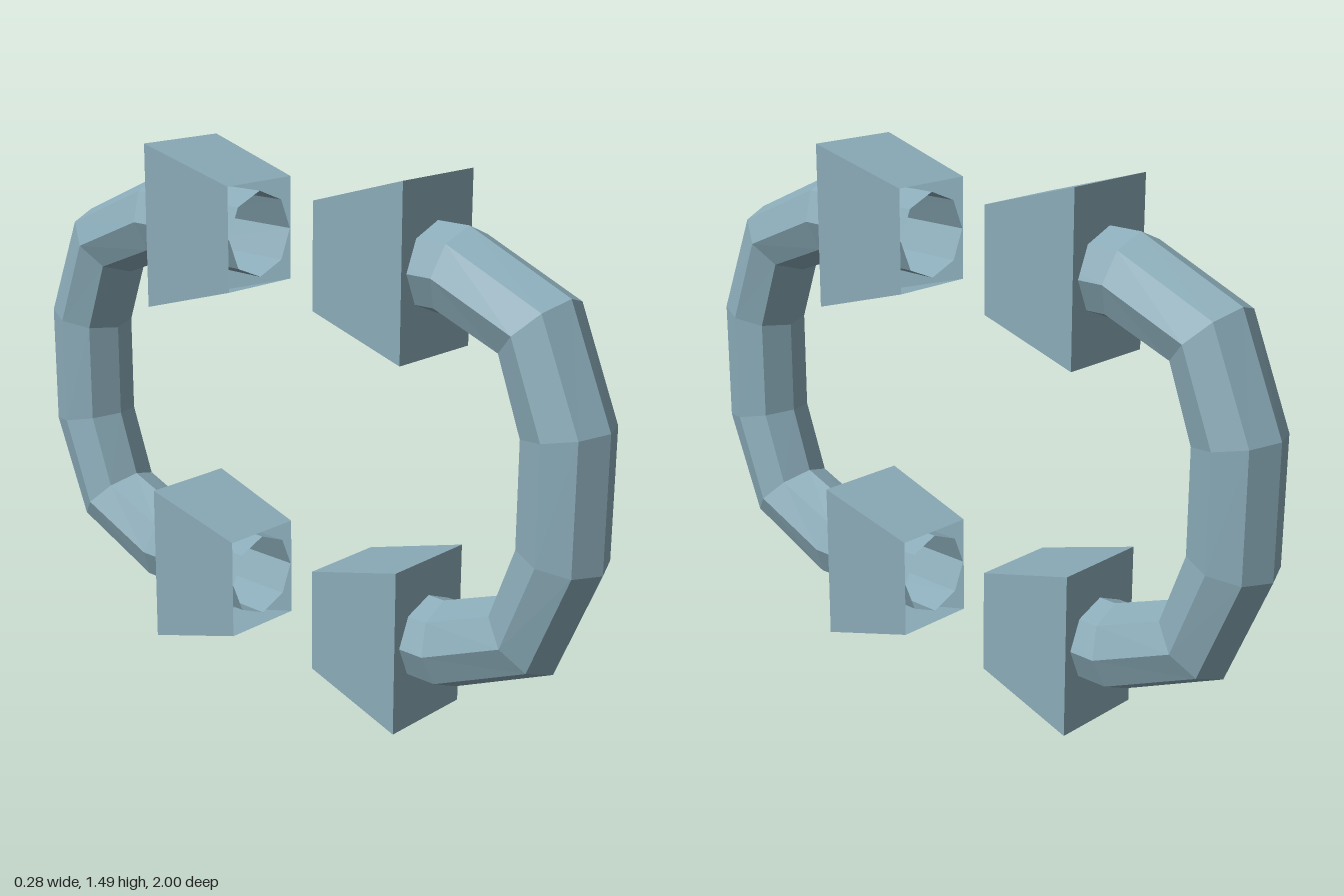
import * as THREE from 'three';

const paint = new THREE.MeshStandardMaterial({ color: 0x8aabb8, flatShading: true, side: THREE.DoubleSide });
paint.name = 'blueGrey';

const INNER_Z = 0.155, OUTER_Z = 0.465;

// Open octagonal tube swept along a C-shaped path of [z, y] points
function tubeGeometry() {
  const half = [[INNER_Z, 1.257], [0.54, 1.257], [0.785, 1.155], [0.882, 0.91]];
  const path = [...half, ...half.map(([z, y]) => [z, 1.502 - y]).reverse()]
    .map(([z, y]) => new THREE.Vector2(z, y));
  const sides = 8, radius = 0.12, positions = [], index = [];
  path.forEach((p, i) => {
    const tangent = new THREE.Vector2();
    if (i > 0) tangent.add(p.clone().sub(path[i - 1]).normalize());
    if (i < path.length - 1) tangent.add(path[i + 1].clone().sub(p).normalize());
    tangent.normalize();
    for (let j = 0; j < sides; j++) {
      const a = (j / sides) * Math.PI * 2;
      const out = radius * Math.cos(a);
      positions.push(radius * Math.sin(a), p.y + out * tangent.x, p.x - out * tangent.y);
      if (i < path.length - 1) {
        const k = i * sides + j, n = i * sides + (j + 1) % sides;
        index.push(k, k + sides, n, n, k + sides, n + sides);
      }
    }
  });
  const g = new THREE.BufferGeometry();
  g.setAttribute('position', new THREE.Float32BufferAttribute(positions, 3));
  g.setIndex(index);
  g.computeVertexNormals();
  return g;
}

// Tapered sleeve: large closed end outward, small end open
function sleeveGeometry() {
  const g = new THREE.BoxGeometry(0.28, 0.465, OUTER_Z - INNER_Z);
  const pos = g.attributes.position;
  for (let i = 0; i < pos.count; i++) {
    if (pos.getZ(i) < 0) {
      pos.setX(i, pos.getX(i) * 0.88);
      pos.setY(i, pos.getY(i) * 0.625);
    }
  }
  g.setIndex(Array.from(g.index.array).slice(0, 30)); // drop the inner end face
  g.clearGroups();
  g.computeVertexNormals();
  return g;
}

export function createModel() {
  const model = new THREE.Group();
  model.name = 'facingTubeArcs';
  const tube = tubeGeometry(), sleeve = sleeveGeometry();

  for (const [side, turn] of [['front', 0], ['back', Math.PI]]) {
    const arc = new THREE.Group();
    arc.name = side + 'Arc';
    arc.rotation.y = turn;

    const pipe = new THREE.Mesh(tube, paint);
    pipe.name = side + 'Tube';
    arc.add(pipe);

    for (const [level, y] of [['Upper', 1.2575], ['Lower', 0.2345]]) {
      const block = new THREE.Mesh(sleeve, paint);
      block.name = side + level + 'Sleeve';
      block.position.set(0, y, (INNER_Z + OUTER_Z) / 2);
      arc.add(block);
    }
    model.add(arc);
  }
  return model;
}
